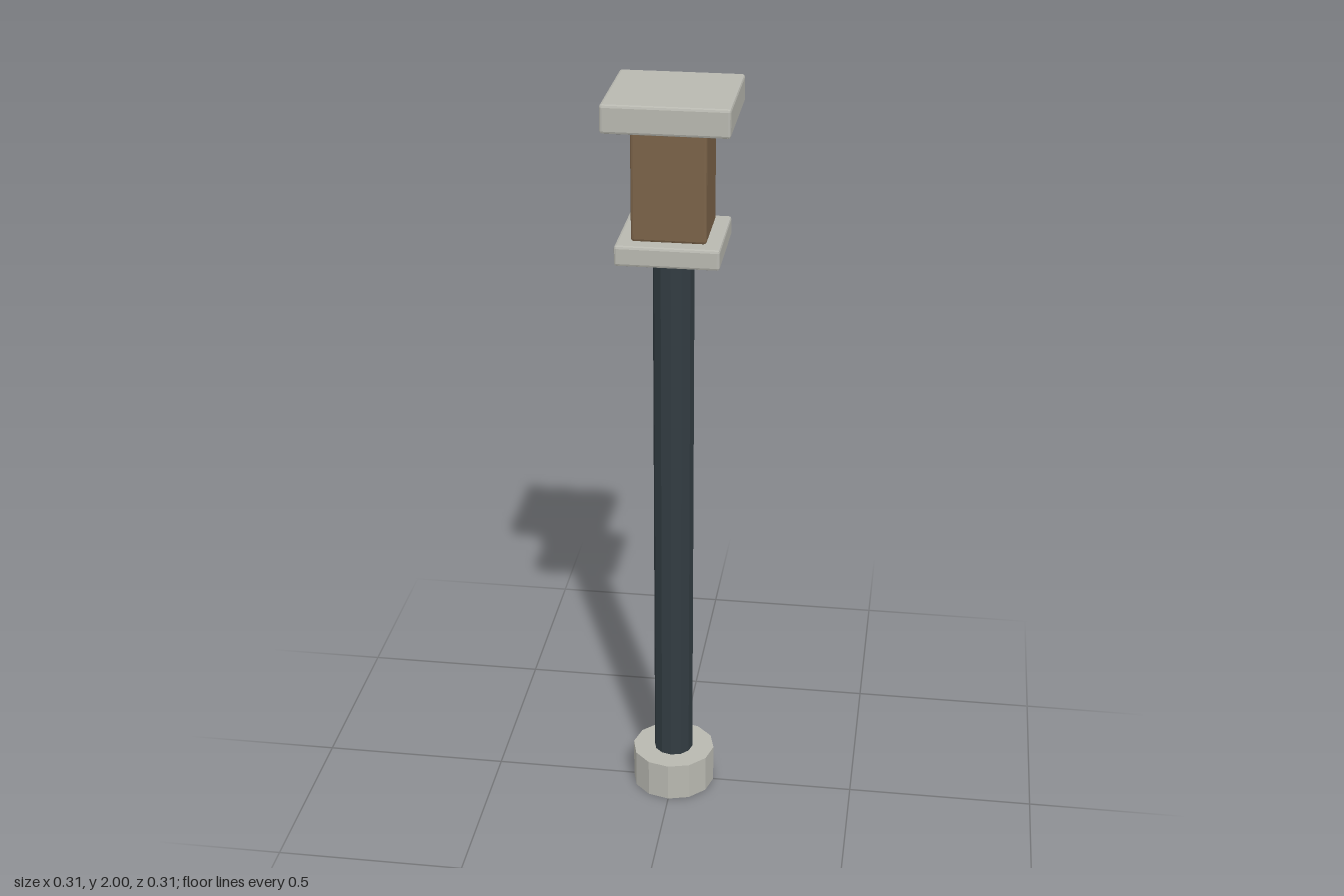
import * as THREE from 'three';
import { RoundedBoxGeometry } from 'three/addons/geometries/RoundedBoxGeometry.js';

export function createModel() {
  const group = new THREE.Group();
  const material = (name, color) => {
    const m = new THREE.MeshStandardMaterial({ color, flatShading: true });
    m.name = name;
    return m;
  };
  const stone = material('pale stone', 0xb8b8b0);
  const wood = material('brown wood', 0x7a6248);
  const iron = material('dark iron', 0x323c42);

  const add = (name, geometry, mat, y0, y1) => {
    const mesh = new THREE.Mesh(geometry, mat);
    mesh.name = name;
    mesh.position.y = (y0 + y1) / 2;
    group.add(mesh);
  };
  // Square block with slightly softened edges
  const block = (name, width, y0, y1, mat) =>
    add(name, new RoundedBoxGeometry(width, y1 - y0, width, 1, 0.007), mat, y0, y1);
  // Twelve-sided upright cylinder
  const drum = (name, radius, y0, y1, mat) =>
    add(name, new THREE.CylinderGeometry(radius, radius, y1 - y0, 12), mat, y0, y1);

  // Foot and post
  drum('foot', 0.113, 0, 0.107, stone);
  drum('post', 0.053, 0.107, 1.587, iron);

  // Head: lower plate, wooden body, cap
  block('lowerPlate', 0.262, 1.585, 1.638, stone);
  block('body', 0.188, 1.638, 1.928, wood);
  block('cap', 0.315, 1.928, 2, stone);

  return group;
}
